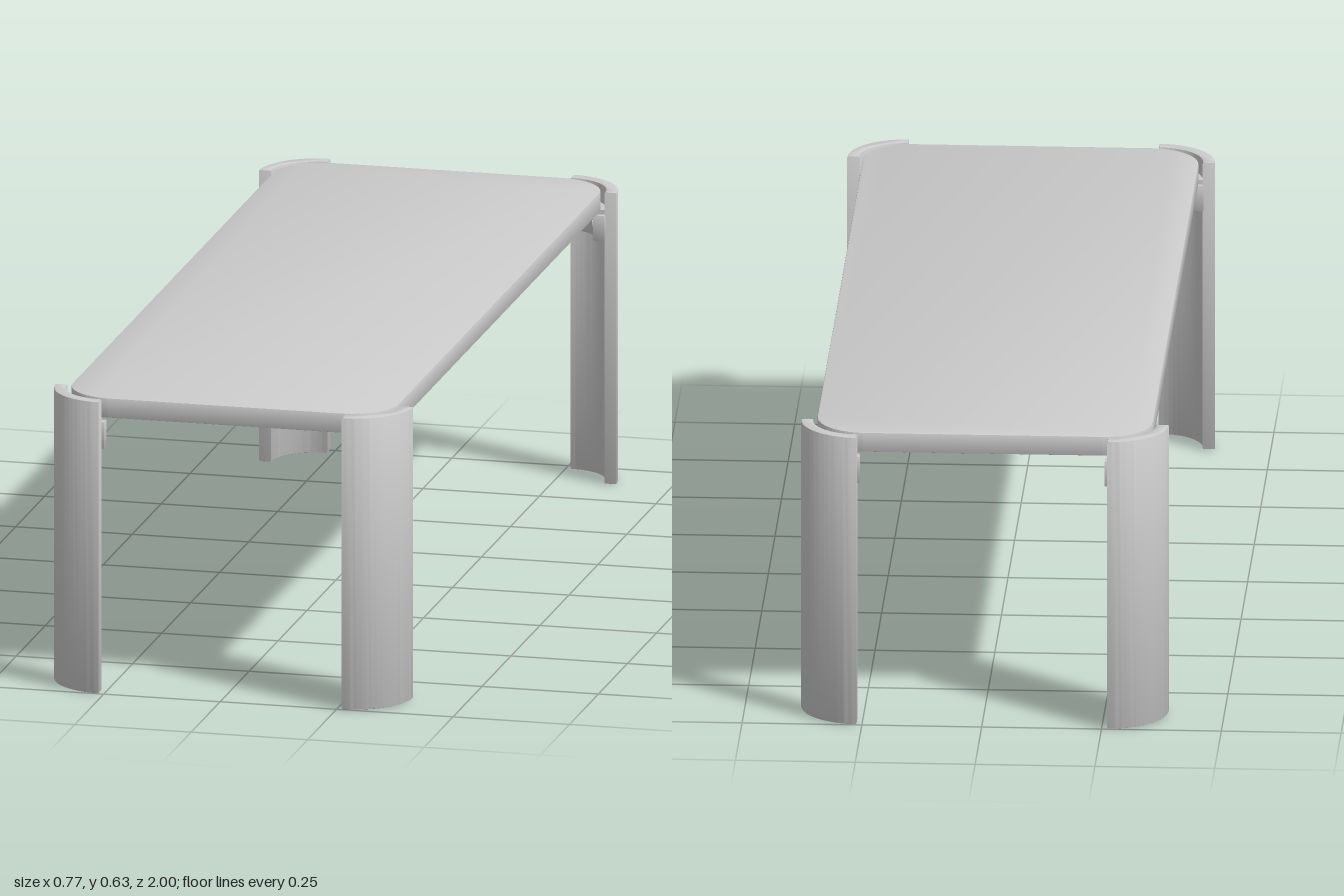
import * as THREE from 'three';
import { toCreasedNormals } from 'three/addons/utils/BufferGeometryUtils.js';

const material = new THREE.MeshStandardMaterial({ color: 0xcccccc });
const CORNER = { x: 0.261, z: 0.877 }; // arc centre of each leg
const TOP = 0.63;

// Upright extrusion of a plan shape between two heights, with a small eased edge
function upright(shape, y0, y1, bevel, name) {
  const geometry = new THREE.ExtrudeGeometry(shape, {
    depth: y1 - y0 - 2 * bevel, curveSegments: 24,
    bevelEnabled: bevel > 0, bevelThickness: bevel, bevelSize: bevel,
    bevelOffset: -bevel, bevelSegments: 2,
  });
  geometry.translate(0, 0, y0 + bevel).rotateX(-Math.PI / 2);
  const mesh = new THREE.Mesh(toCreasedNormals(geometry, 0.6), material);
  mesh.name = name;
  return mesh;
}

// Ring sector in plan, from angle a to angle b
function sector(inner, outer, a, b) {
  const s = new THREE.Shape();
  s.absarc(0, 0, outer, a, b, false);
  s.absarc(0, 0, inner, b, a, true);
  s.closePath();
  return s;
}

function roundedRect(hx, hy, r) {
  const s = new THREE.Shape();
  s.absarc(hx - r, hy - r, r, 0, Math.PI / 2, false);
  s.absarc(-hx + r, hy - r, r, Math.PI / 2, Math.PI, false);
  s.absarc(-hx + r, -hy + r, r, Math.PI, Math.PI * 1.5, false);
  s.absarc(hx - r, -hy + r, r, Math.PI * 1.5, Math.PI * 2, false);
  s.closePath();
  return s;
}

// Curved quarter-round leg with its fixing bracket
function createLeg() {
  const leg = new THREE.Group();
  const q = Math.PI / 2;
  leg.add(upright(sector(0.097, 0.123, 0, q), 0, TOP, 0.004, 'legShell'));
  leg.add(upright(sector(0.074, 0.099, -0.06, q + 0.06), 0.523, 0.58, 0.003, 'bracket'));
  leg.add(upright(sector(0.076, 0.098, 0.05, q - 0.05), 0.578, 0.59, 0, 'bracketSpacer'));

  // Bolt heads on the inner face of the bracket
  for (const angle of [q * 0.25, q * 0.75]) {
    const bolt = new THREE.Mesh(new THREE.CylinderGeometry(0.009, 0.009, 0.008, 20), material);
    bolt.name = 'bolt';
    bolt.rotation.set(0, angle, -q);
    bolt.rotation.order = 'YXZ';
    bolt.position.set(Math.cos(angle) * 0.073, 0.551, -Math.sin(angle) * 0.073);
    leg.add(bolt);
  }
  return leg;
}

export function createModel() {
  const table = new THREE.Group();
  table.name = 'table';
  table.add(upright(roundedRect(0.35, 0.967, 0.105), 0.588, TOP, 0.002, 'tabletop'));

  // One leg turned into each corner
  const corners = [['backLeft', 1, -1], ['backRight', -1, -1], ['frontRight', -1, 1], ['frontLeft', 1, 1]];
  corners.forEach(([name, sx, sz], i) => {
    const leg = createLeg();
    leg.name = name + 'Leg';
    leg.rotation.y = (i * Math.PI) / 2;
    leg.position.set(sx * CORNER.x, 0, sz * CORNER.z);
    table.add(leg);
  });
  return table;
}
